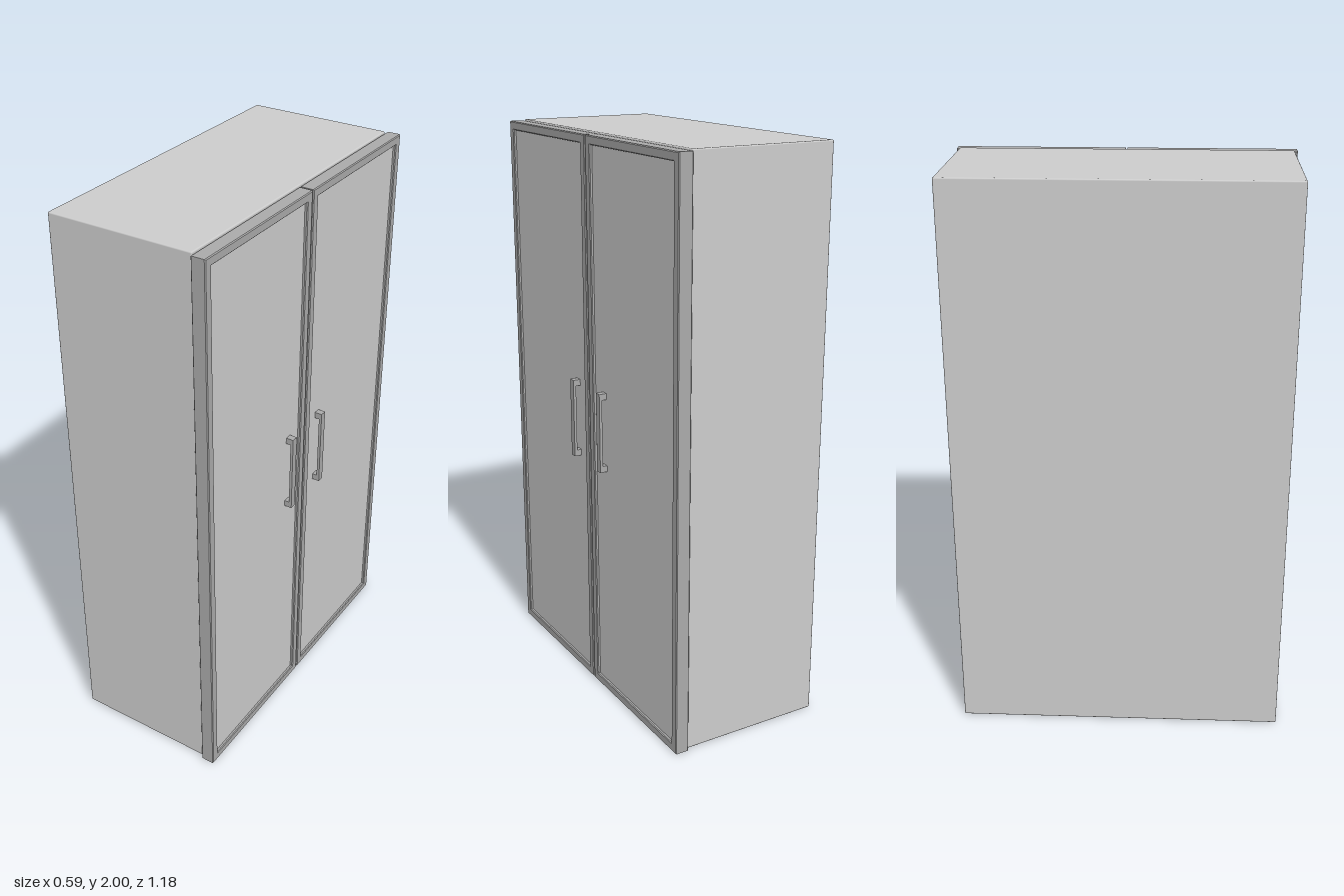
import * as THREE from 'three';
import { RoundedBoxGeometry } from 'three/addons/geometries/RoundedBoxGeometry.js';

export function createModel() {
  const lightGrey = new THREE.MeshStandardMaterial({ name: 'lightGrey', color: 0xcccccc });
  const midGrey = new THREE.MeshStandardMaterial({ name: 'midGrey', color: 0xaaaaaa });
  const root = new THREE.Group();
  root.name = 'cabinet';

  const add = (parent, name, geometry, material, x, y, z) => {
    const mesh = new THREE.Mesh(geometry, material);
    mesh.name = name;
    mesh.position.set(x, y, z);
    parent.add(mesh);
    return mesh;
  };

  // Carcass with softened edges
  add(root, 'carcass', new RoundedBoxGeometry(0.516, 2, 1.156, 2, 0.005), lightGrey, -0.035, 1, 0);

  // Door frame: bevelled rectangle with a window, extruded along x
  const width = 0.587, height = 1.995, border = 0.03, bevel = 0.003, depth = 0.05;
  const rectangle = (Type, w, h) => {
    const path = new Type();
    path.moveTo(-w / 2, -h / 2);
    path.lineTo(w / 2, -h / 2);
    path.lineTo(w / 2, h / 2);
    path.lineTo(-w / 2, h / 2);
    path.closePath();
    return path;
  };
  const outline = rectangle(THREE.Shape, width, height);
  outline.holes.push(rectangle(THREE.Path, width - border * 2, height - border * 2));
  const frameGeometry = new THREE.ExtrudeGeometry(outline, {
    depth: depth - bevel * 2, bevelEnabled: true, bevelThickness: bevel,
    bevelSize: bevel, bevelOffset: -bevel, bevelSegments: 1,
  });
  frameGeometry.translate(0, 0, bevel);
  frameGeometry.rotateY(Math.PI / 2);

  // Two mirrored doors, each with a recessed panel and a bar handle
  for (const side of [1, -1]) {
    const door = new THREE.Group();
    door.name = side > 0 ? 'leftDoor' : 'rightDoor';
    root.add(door);
    const z = side * (0.003 + width / 2);
    add(door, 'doorFrame', frameGeometry, midGrey, 0.226, 0.998, z);
    add(door, 'doorPanel',
      new THREE.BoxGeometry(0.038, height - border * 2, width - border * 2),
      lightGrey, 0.247, 0.998, z);

    const handle = new THREE.Group();
    handle.name = 'handle';
    handle.position.set(0, 1, side * 0.097);
    door.add(handle);
    add(handle, 'handleBar', new THREE.BoxGeometry(0.01, 0.284, 0.024), midGrey, 0.288, 0, 0);
    for (const end of [1, -1]) {
      add(handle, 'handlePost', new THREE.BoxGeometry(0.019, 0.022, 0.024), midGrey,
        0.2745, end * 0.131, 0);
    }
  }
  return root;
}
